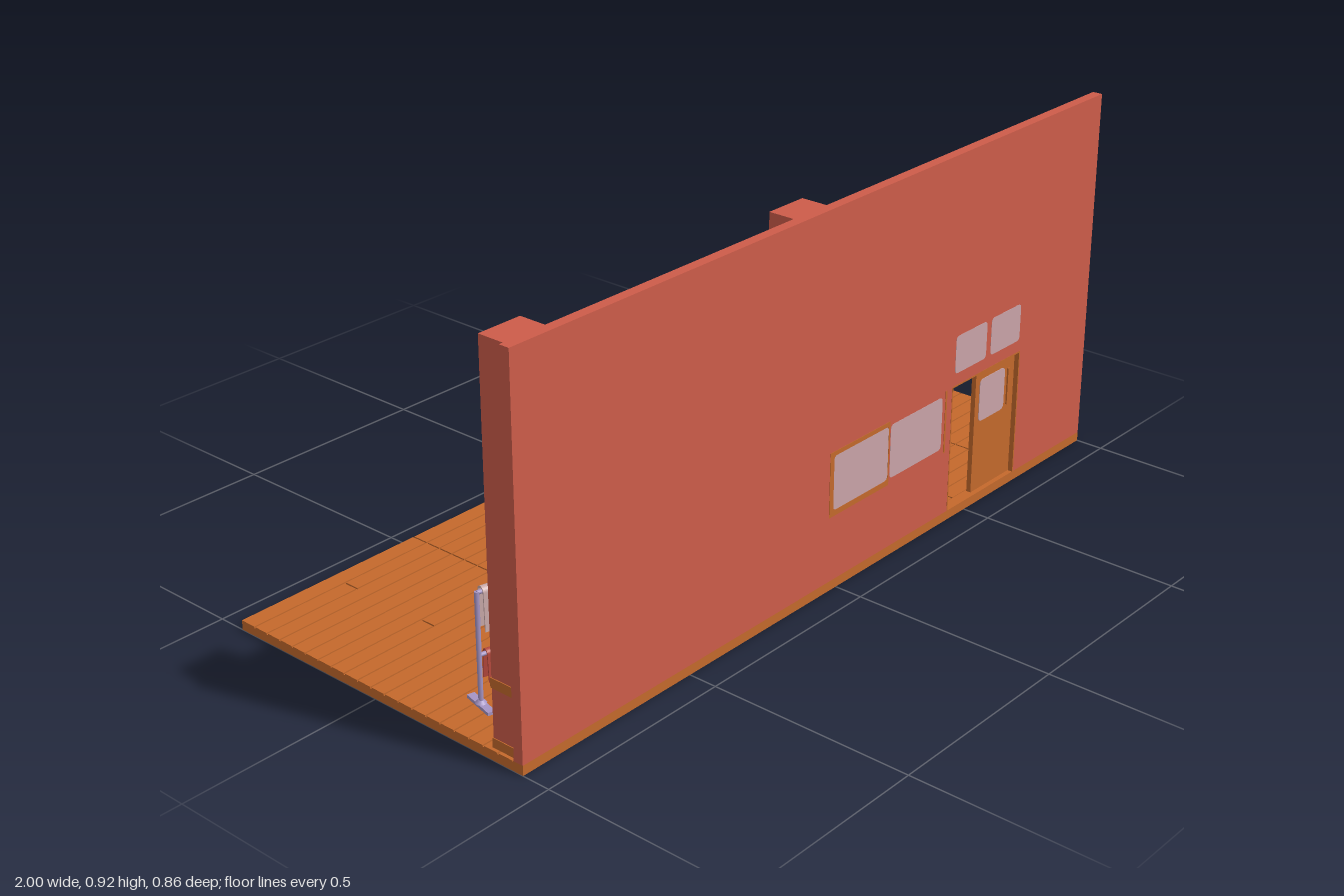
import * as THREE from 'three';

const mat = (name, color, extra = {}) => Object.assign(new THREE.MeshStandardMaterial({ color, ...extra }), { name });

export function createModel() {
  const root = new THREE.Group();
  root.name = 'shopRoom';
  const brick = mat('terracotta wall', 0xcd5c4a);
  const wood = mat('orange wood', 0xc4692c);
  const glass = mat('misty glass', 0xc9a3a8);
  const metal = mat('lilac metal', 0xa594c4);
  const paleCloth = mat('pale cloth', 0xcbabab);
  const redCloth = mat('red cloth', 0xb5483c);
  const lilacCloth = mat('lilac cloth', 0x9c86a6);

  const add = (name, geo, material, parent = root) => {
    const m = new THREE.Mesh(geo, material);
    m.name = name;
    parent.add(m);
    return m;
  };
  // Box given by its limits on each axis
  const span = (name, x0, x1, y0, y1, z0, z1, material, parent = root) => {
    const m = add(name, new THREE.BoxGeometry(x1 - x0, y1 - y0, z1 - z0), material, parent);
    m.position.set((x0 + x1) / 2, (y0 + y1) / 2, (z0 + z1) / 2);
    return m;
  };
  const trace = (p, x0, x1, y0, y1, r) => {
    p.moveTo(x0 + r, y0);
    p.lineTo(x1 - r, y0); p.quadraticCurveTo(x1, y0, x1, y0 + r);
    p.lineTo(x1, y1 - r); p.quadraticCurveTo(x1, y1, x1 - r, y1);
    p.lineTo(x0 + r, y1); p.quadraticCurveTo(x0, y1, x0, y1 - r);
    p.lineTo(x0, y0 + r); p.quadraticCurveTo(x0, y0, x0 + r, y0);
    return p;
  };
  // Thin rounded plate, optionally with a hole
  const plate = (name, box, r, z, depth, material, hole) => {
    const s = trace(new THREE.Shape(), ...box, r);
    if (hole) s.holes.push(trace(new THREE.Path(), ...hole, 0.01));
    const m = add(name, new THREE.ExtrudeGeometry(s, { depth, bevelEnabled: false, curveSegments: 4 }), material);
    m.position.z = z;
    return m;
  };

  // Floor slab and planks with open joints
  span('floorSlab', -1, 1, 0, 0.02, -0.43, 0.43, wood);
  span('floorEdge', -1, 1, 0.02, 0.0235, 0.402, 0.43, wood);
  const gap = 0.004, pitch = 0.0415;
  const joints = [-1, -0.492, -0.247, -0.003, 0.492, 0.737, 1];
  for (let row = 0; row < 20; row++) {
    const z0 = -0.43 + row * pitch + (row ? gap : 0);
    const xs = [...joints];
    if (row % 6 === 1) xs.push(-0.742);
    if (row % 4 === 3) xs.push(0.243);
    xs.sort((a, b) => a - b);
    for (let i = 0; i < xs.length - 1; i++) {
      span('floorPlank', xs[i] + (i ? gap / 2 : 0), xs[i + 1] - (i < xs.length - 2 ? gap / 2 : 0),
        0.02, 0.0235, z0, Math.min(-0.43 + (row + 1) * pitch, 0.402), wood);
    }
  }

  // Wall with the door opening cut out of its lower edge
  const wall = new THREE.Shape([[-1, 0.0235], [0.43, 0.0235], [0.43, 0.345], [0.705, 0.345], [0.705, 0.0235],
    [1, 0.0235], [1, 0.92], [-1, 0.92]].map(([x, y]) => new THREE.Vector2(x, y)));
  add('wall', new THREE.ExtrudeGeometry(wall, { depth: 0.025, bevelEnabled: false }), brick).position.z = 0.405;

  // Pillars with their wooden bands
  const rails = [[0.0235, 0.046], [0.162, 0.185]];
  for (const [x0, x1] of [[-0.99, -0.88], [-0.145, -0.035]]) {
    span('pillar', x0, x1, 0.0235, 0.92, 0.34, 0.405, brick);
    for (const [y0, y1] of rails) span('pillarBand', x0 - 0.002, x1 + 0.002, y0, y1, 0.338, 0.405, wood);
  }
  // Skirting and chair rail along the inner wall
  for (const [y0, y1] of rails) {
    for (const [x0, x1] of [[-0.88, -0.145], [-0.035, 0.425], [0.71, 1]]) {
      span('wallRail', x0, x1, y0, y1, 0.401, 0.405, wood);
    }
  }

  // Shop windows, glazed on both faces of the wall
  const panes = [[-0.018, 0.182, 0.2, 0.335], [0.19, 0.39, 0.2, 0.335]];
  const frames = [[-0.032, 0.186, 0.186, 0.346], [0.186, 0.405, 0.186, 0.346]];
  panes.forEach((p, i) => {
    plate('windowGlass', p, 0.012, 0.429, 0.0015, glass);
    plate('windowGlass', p, 0.012, 0.4035, 0.002, glass);
    plate('windowFrameInside', frames[i], 0.001, 0.401, 0.004, wood, p);
  });
  plate('windowFrameOutside', frames[0], 0.001, 0.4295, 0.0015, wood, panes[0]);
  span('windowJamb', 0.401, 0.407, 0.186, 0.346, 0.4295, 0.431, wood);
  // Transom lights above the door
  for (const p of [[0.435, 0.56, 0.377, 0.472], [0.578, 0.7, 0.377, 0.472]]) {
    plate('transomGlass', p, 0.012, 0.429, 0.0015, glass);
    plate('transomGlass', p, 0.012, 0.4035, 0.002, glass);
  }

  // Sliding door, half open
  span('door', 0.54, 0.7, 0.026, 0.345, 0.408, 0.42, wood);
  for (const z of [0.4195, 0.4065]) plate('doorGlass', [0.556, 0.66, 0.208, 0.318], 0.014, z, 0.002, glass);
  for (const z of [0.422, 0.406]) span('doorHandle', 0.671, 0.677, 0.215, 0.31, z - 0.002, z + 0.002, wood);
  for (const x of [0.427, 0.703]) span('doorJamb', x, x + 0.004, 0.0235, 0.346, 0.402, 0.4305, wood);
  span('doorHead', 0.427, 0.707, 0.343, 0.347, 0.402, 0.4305, wood);

  // Dress forms on stands
  const profile = [[0, 0.162], [0.02, 0.163], [0.024, 0.175], [0.0245, 0.19], [0.021, 0.207], [0.0175, 0.222],
    [0.02, 0.24], [0.023, 0.258], [0.0225, 0.272], [0.0215, 0.283], [0.017, 0.29], [0.0095, 0.294],
    [0.0085, 0.305], [0.009, 0.312], [0, 0.313]].map(([r, y]) => new THREE.Vector2(r, y));
  for (const [x, z, turn] of [[-0.325, 0.272, 0.5], [-0.217, 0.308, -0.25]]) {
    const form = new THREE.Group();
    form.name = 'dressForm';
    form.position.set(x, 0, z);
    form.rotation.y = turn;
    root.add(form);
    const torso = new THREE.LatheGeometry(profile, 20);
    const pos = torso.attributes.position;
    for (let i = 0; i < pos.count; i++) {
      // Wider than deep, hips set back and bust forward
      const y = pos.getY(i), neck = y > 0.291;
      pos.setX(i, pos.getX(i) * (neck ? 1 : 1.25));
      pos.setZ(i, pos.getZ(i) * 0.88 + 0.004 * Math.cos((y - 0.175) * 32));
    }
    torso.computeVertexNormals();
    add('torso', torso, wood, form);
    add('pole', new THREE.CylinderGeometry(0.005, 0.005, 0.14, 10), metal, form).position.y = 0.097;
    add('base', new THREE.BoxGeometry(0.05, 0.006, 0.05), metal, form).position.y = 0.0275;
    add('baseCollar', new THREE.CylinderGeometry(0.007, 0.014, 0.006, 10), metal, form).position.y = 0.0335;
  }

  // Display rack with draped cloths
  const rack = new THREE.Group();
  rack.name = 'clothRack';
  rack.position.set(-0.755, 0, 0.248);
  rack.rotation.y = -Math.atan2(0.075, 0.29);
  root.add(rack);
  for (const s of [-1, 1]) {
    add('rackPost', new THREE.CylinderGeometry(0.0055, 0.0055, 0.265, 10), metal, rack).position.set(s * 0.149, 0.158, 0);
    span('rackFoot', s * 0.149 - 0.009, s * 0.149 + 0.009, 0.0235, 0.031, -0.043, 0.043, metal, rack);
    add('rackCollar', new THREE.CylinderGeometry(0.007, 0.013, 0.007, 10), metal, rack).position.set(s * 0.149, 0.0345, 0);
  }
  for (const y of [0.288, 0.143]) {
    const rail = add('rackRail', new THREE.CylinderGeometry(0.005, 0.005, 0.298, 10), metal, rack);
    rail.rotation.z = Math.PI / 2;
    rail.position.y = y;
  }
  // Cloth folded over a rail: an upside-down U swept along x
  const drape = (name, x0, x1, yBottom, yTop, r, flare, material) => {
    const s = new THREE.Shape(), t = 0.003, c = yTop - r;
    s.moveTo(r + flare, yBottom);
    s.lineTo(r, c);
    s.absarc(0, c, r, 0, Math.PI, false);
    s.lineTo(-r - flare, yBottom);
    s.lineTo(-r - flare + t, yBottom);
    s.lineTo(-r + t, c);
    s.absarc(0, c, r - t, Math.PI, 0, true);
    s.lineTo(r + flare - t, yBottom);
    const g = new THREE.ExtrudeGeometry(s, { depth: x1 - x0, bevelEnabled: false, curveSegments: 8 });
    g.rotateY(Math.PI / 2);
    add(name, g, material, rack).position.x = x0;
  };
  drape('topCloth', -0.14, 0.14, 0.2, 0.3, 0.012, 0.003, paleCloth);
  drape('redCloth', -0.135, -0.01, 0.08, 0.153, 0.01, 0.004, redCloth);
  drape('lilacCloth', 0.005, 0.135, 0.118, 0.153, 0.01, 0.002, lilacCloth);

  return root;
}
